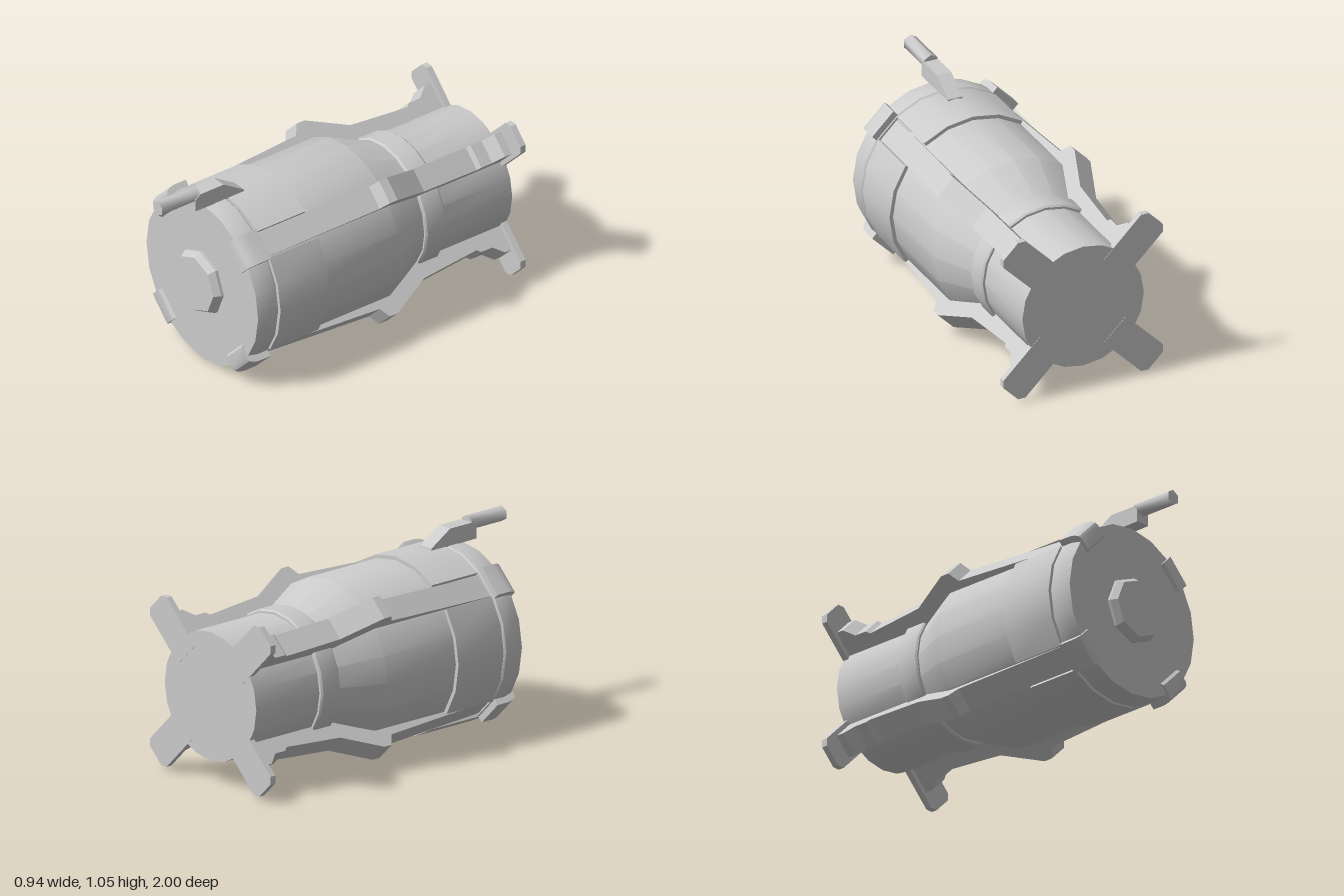
import * as THREE from 'three';
import { toCreasedNormals } from 'three/addons/utils/BufferGeometryUtils.js';

const AXIS_Y = 0.472; // height of the long axis
const SIDES = 20;

export function createModel() {
  const model = new THREE.Group();
  model.name = 'canister';
  const material = new THREE.MeshStandardMaterial({ color: 0xcccccc });

  const add = (parent, name, geometry) => {
    const mesh = new THREE.Mesh(geometry, material);
    mesh.name = name;
    parent.add(mesh);
    return mesh;
  };
  const toShape = (pts) => new THREE.Shape(pts.map(([x, y]) => new THREE.Vector2(x, y)));

  // Turned part along z from [radius, z] pairs, back to front
  const turned = (pts, sides, crease = 0.5) => {
    const g = new THREE.LatheGeometry(pts.map(([r, z]) => new THREE.Vector2(r, z)), sides);
    g.rotateX(Math.PI / 2);
    return toCreasedNormals(g, crease);
  };

  // Side profile of [z, height] pairs, given a width across x
  const slab = (pts, width, crease = 0.3) => {
    const g = new THREE.ExtrudeGeometry(toShape(pts), { depth: width, bevelEnabled: false });
    g.translate(0, 0, -width / 2);
    g.rotateY(-Math.PI / 2);
    return toCreasedNormals(g, crease);
  };

  const core = new THREE.Group();
  core.name = 'core';
  core.position.y = AXIS_Y;
  model.add(core);

  // Main shell: narrow tail, shoulder, wide barrel
  add(core, 'shell', turned([
    [0, -0.998], [0.34, -0.998], [0.34, -0.44], [0.45, -0.2], [0.45, 0.6], [0, 0.6],
  ], SIDES));
  add(core, 'tailCollar', turned([
    [0.33, -0.565], [0.352, -0.565], [0.36, -0.555], [0.36, -0.445], [0.352, -0.435], [0.33, -0.435],
  ], SIDES));
  add(core, 'frontCap', turned([
    [0, 0.59], [0.462, 0.59], [0.47, 0.598], [0.47, 0.66], [0.459, 0.715], [0, 0.715],
  ], SIDES));
  add(core, 'frontKnob', turned([
    [0.177, 0.7], [0.177, 0.73], [0.155, 0.765], [0, 0.765],
  ], 8, 0.2));

  // Barrel bands, one between each pair of ribs
  const arc = [-36, -18, 0, 18, 36].map((d) => THREE.MathUtils.degToRad(d));
  const ring = (r, angles) => angles.map((a) => [r * Math.cos(a), r * Math.sin(a)]);
  const bandShape = toShape([...ring(0.47, arc), ...ring(0.43, [...arc].reverse())]);
  for (let i = 0; i < 4; i++) {
    const g = new THREE.ExtrudeGeometry(bandShape, { depth: 0.31, bevelEnabled: false });
    g.translate(0, 0, 0.27);
    add(core, 'barrelBand', toCreasedNormals(g, 0.5)).rotation.z = i * Math.PI / 2;
  }

  // Four diagonal ribs, each with a front clamp and a rear foot
  const ribProfile = [
    [-0.97, 0.28], [0.585, 0.38], [0.585, 0.45], [-0.115, 0.487], [-0.15, 0.542], [-0.2, 0.542],
    [-0.43, 0.43], [-0.78, 0.402], [-0.8, 0.42], [-0.87, 0.42], [-0.925, 0.468], [-0.97, 0.468],
  ];
  const clampProfile = [
    [0.595, 0.384], [0.715, 0.384], [0.73, 0.398], [0.73, 0.46], [0.722, 0.478],
    [0.7, 0.49], [0.67, 0.495], [0.595, 0.495],
  ];
  const footOutline = [
    [-0.087, 0.25], [0.087, 0.25], [0.087, 0.545], [0.058, 0.574], [-0.058, 0.574], [-0.087, 0.545],
  ];
  const ribGeometry = slab(ribProfile, 0.126);
  const clampGeometry = slab(clampProfile, 0.168, 0.6);
  const footGeometry = new THREE.ExtrudeGeometry(toShape(footOutline), { depth: 0.033, bevelEnabled: false });
  footGeometry.translate(0, 0, -1);
  for (let i = 0; i < 4; i++) {
    const arm = new THREE.Group();
    arm.name = 'ribAssembly';
    arm.rotation.z = Math.PI / 4 + i * Math.PI / 2;
    core.add(arm);
    add(arm, 'rib', ribGeometry);
    add(arm, 'frontClamp', clampGeometry);
    add(arm, 'rearFoot', footGeometry);
  }

  // Top bracket holding a hexagonal pin
  add(model, 'pinBracket', slab([
    [0.48, 0.93], [0.79, 0.935], [0.79, 1.0], [0.76, 1.025], [0.61, 1.025], [0.48, 0.945],
  ], 0.08));
  const pin = new THREE.CylinderGeometry(0.041, 0.041, 0.24, 6);
  pin.rotateX(Math.PI / 2);
  add(model, 'pin', toCreasedNormals(pin, 1.2)).position.set(0, 1.015, 0.88);

  return model;
}
